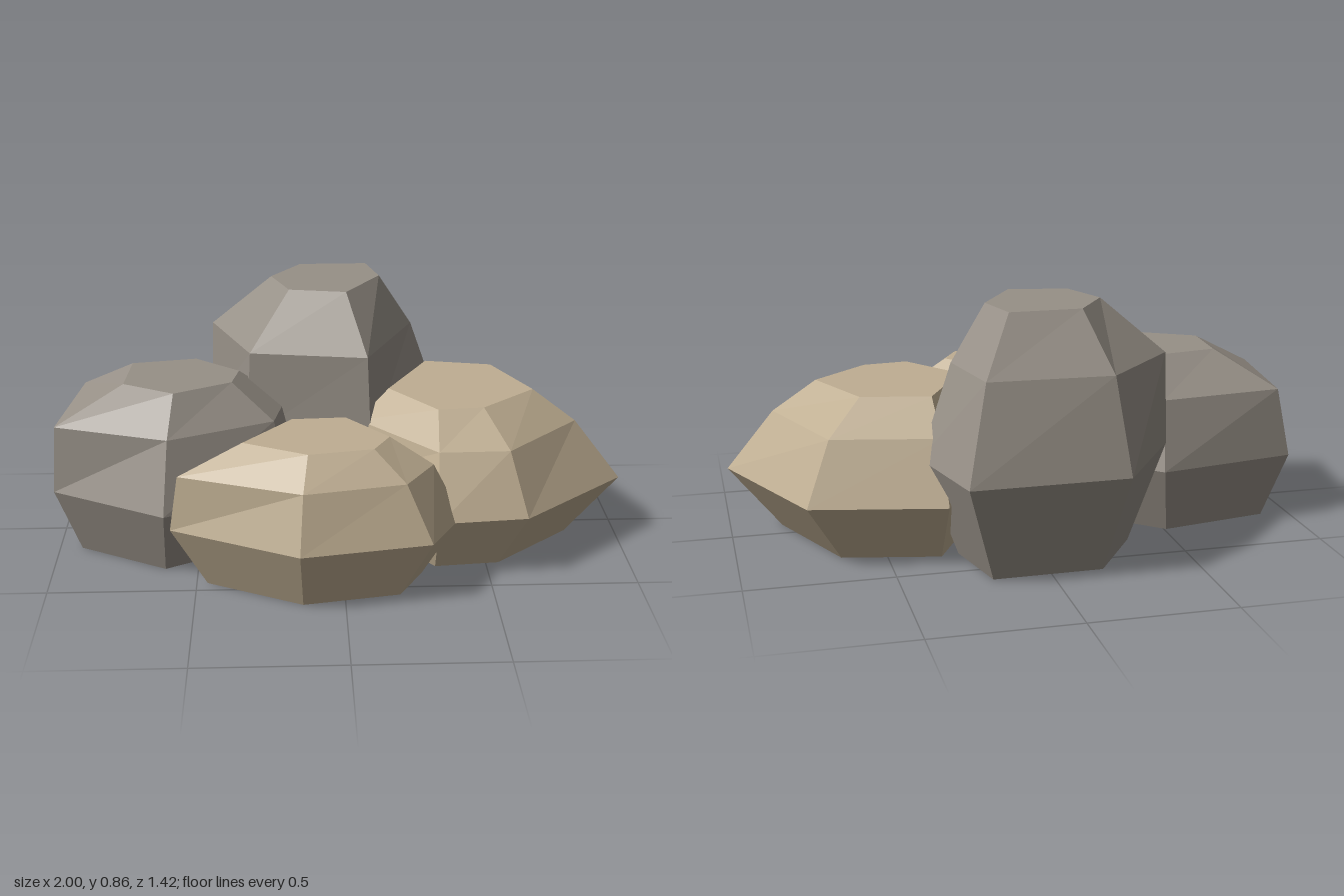
import * as THREE from 'three';

const grey = new THREE.MeshStandardMaterial({ name: 'grey stone', color: 0x979087, flatShading: true });
const tan = new THREE.MeshStandardMaterial({ name: 'tan stone', color: 0xbfae92, flatShading: true });

// Shrinks a ring of [x, z] corners and moves its middle to a new point
function shrink(ring, scale, [x, z]) {
  const [mx, mz] = [0, 1].map((k) => ring.reduce((sum, p) => sum + p[k], 0) / ring.length);
  return ring.map((p) => [x + (p[0] - mx) * scale, z + (p[1] - mz) * scale]);
}

// One boulder grown from its waist outline, which runs back left, back right,
// right, front right, front left, left. The foot and flat top are smaller
// copies; each shoulder corner lies part of the way (taper) from waist to top.
function createBoulder(name, material, { waist, heights, foot, footCentre, topScale, topCentre, taper }) {
  const base = shrink(waist, foot, footCentre);
  const top = shrink(waist, topScale, topCentre);
  const shoulder = waist.map((p, i) => p.map((v, k) => THREE.MathUtils.lerp(v, top[i][k], taper[i])));

  const levels = [0, ...heights];
  const rings = [base, waist, shoulder, top].map((ring, k) => ring.map(([x, z]) => [x, levels[k], z]));
  const topPoint = [topCentre[0], levels[3], topCentre[1]];
  const basePoint = [footCentre[0], 0, footCentre[1]];

  // Faceted skin between the rings, closed by a flat top and base
  const corners = [];
  for (let i = 0; i < waist.length; i++) {
    const j = (i + 1) % waist.length;
    for (let k = 0; k < 3; k++) {
      const low = rings[k];
      const high = rings[k + 1];
      corners.push(low[i], high[i], low[j], high[i], high[j], low[j]);
    }
    corners.push(topPoint, rings[3][j], rings[3][i]);
    corners.push(basePoint, rings[0][i], rings[0][j]);
  }
  const geometry = new THREE.BufferGeometry();
  geometry.setAttribute('position', new THREE.Float32BufferAttribute(corners.flat(), 3));
  geometry.computeVertexNormals();
  const mesh = new THREE.Mesh(geometry, material);
  mesh.name = name;
  return mesh;
}

export function createModel() {
  const group = new THREE.Group();
  group.name = 'boulderPile';

  group.add(createBoulder('tallBackBoulder', grey, {
    waist: [[-0.235, -0.71], [0.3, -0.715], [0.39, -0.35], [0.11, 0.1], [-0.33, 0.02], [-0.47, -0.36]],
    heights: [0.35, 0.67, 0.86], taper: [0.35, 0.42, 0.48, 0.15, 0.1, 0.05],
    foot: 0.7, footCentre: [-0.04, -0.33], topScale: 0.46, topCentre: [-0.04, -0.3],
  }));

  group.add(createBoulder('sideBoulder', grey, {
    waist: [[-0.97, -0.27], [-0.47, -0.36], [-0.12, -0.06], [-0.17, 0.2], [-0.605, 0.435], [-1, 0.21]],
    heights: [0.24, 0.48, 0.605], taper: [0.17, 0.3, 0.3, 0.3, 0.45, 0.06],
    foot: 0.78, footCentre: [-0.575, 0.02], topScale: 0.45, topCentre: [-0.55, 0.04],
  }));

  group.add(createBoulder('frontBoulder', tan, {
    waist: [[-0.25, 0.08], [0.12, 0.06], [0.4, 0.42], [0.285, 0.63], [-0.15, 0.71], [-0.58, 0.49]],
    heights: [0.22, 0.41, 0.505], taper: [0.2, 0.3, 0.4, 0.45, 0.4, 0.12],
    foot: 0.75, footCentre: [-0.05, 0.38], topScale: 0.5, topCentre: [-0.06, 0.38],
  }));

  group.add(createBoulder('wideBoulder', tan, {
    waist: [[0.32, -0.495], [0.775, -0.4], [1, 0.11], [0.625, 0.445], [0.32, 0.475], [0.02, 0.06]],
    heights: [0.22, 0.43, 0.54], taper: [0.42, 0.42, 0.52, 0.42, 0.5, 0.3],
    foot: 0.73, footCentre: [0.46, 0.03], topScale: 0.52, topCentre: [0.43, 0.01],
  }));

  return group;
}
